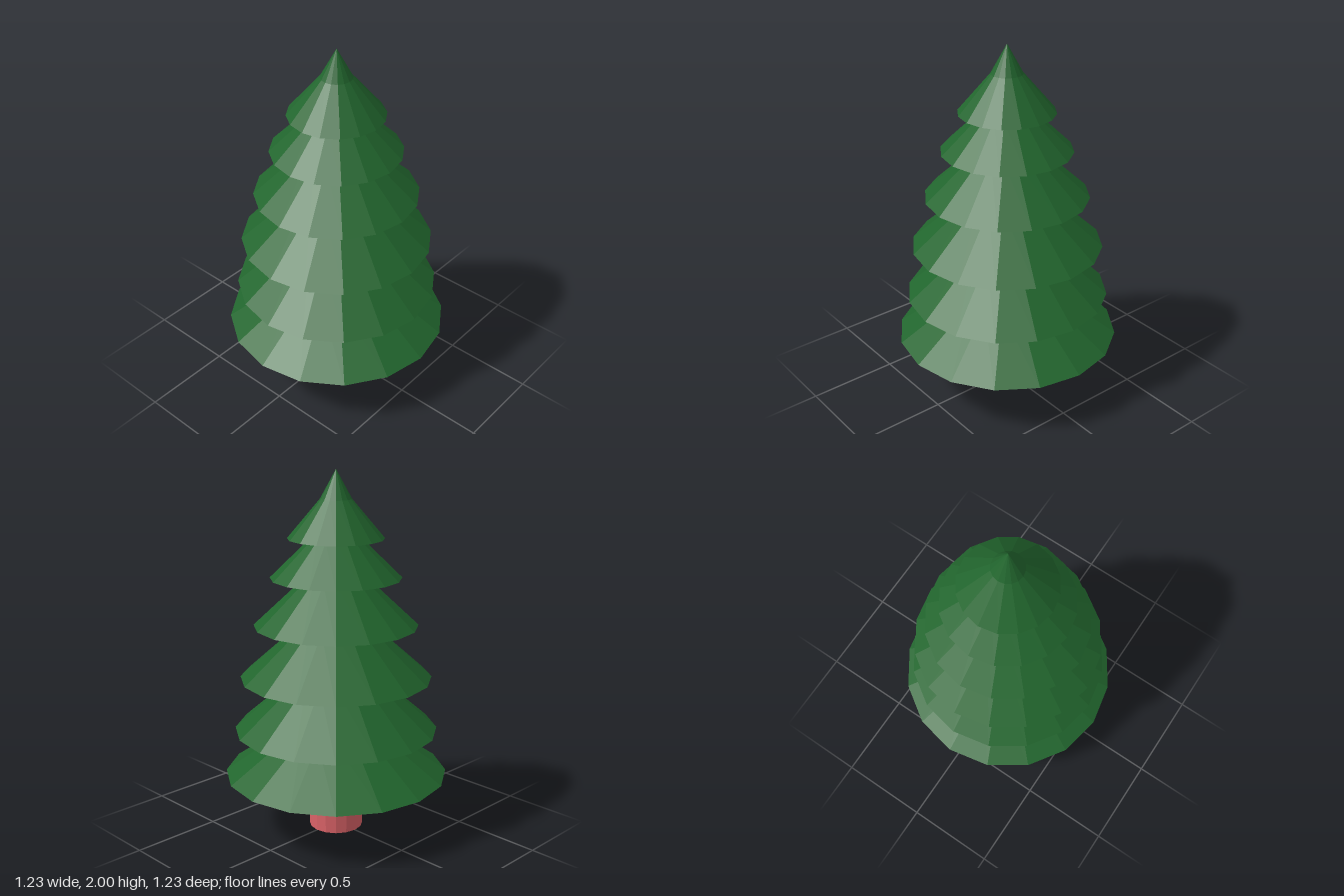
import * as THREE from 'three';

const SIDES = 16;

export function createModel() {
  const tree = new THREE.Group();
  tree.name = 'pineTree';
  const needles = new THREE.MeshStandardMaterial({ color: 0x21652d, flatShading: true });
  const bark = new THREE.MeshStandardMaterial({ color: 0xd96267, flatShading: true });

  // Trunk, ending just inside the lowest tier
  const trunk = new THREE.Mesh(new THREE.CylinderGeometry(0.15, 0.15, 0.33, SIDES), bark);
  trunk.position.y = 0.165;
  trunk.name = 'trunk';
  tree.add(trunk);

  // Branch tiers: rim radius, rim height, top radius, top height
  const tiers = [
    [0.617, 0.323, 0.26, 0.575],
    [0.56, 0.578, 0.225, 0.872],
    [0.525, 0.875, 0.2, 1.165],
    [0.447, 1.167, 0.17, 1.425],
    [0.355, 1.427, 0.14, 1.636],
    [0.26, 1.638, 0.085, 1.845],
  ];
  tiers.forEach(([rimR, rimY, topR, topY], i) => {
    const last = i === tiers.length - 1;
    const profile = [
      [0, rimY - 0.012], // slightly sagging underside
      [rimR * 0.5, rimY - 0.012],
      [rimR, rimY],
      [topR, topY],
      [0, last ? 2 : topY], // pointed crown on the top tier
    ].map(([r, y]) => new THREE.Vector2(r, y));
    const tier = new THREE.Mesh(new THREE.LatheGeometry(profile, SIDES), needles);
    tier.name = last ? 'crownTier' : `branchTier${i + 1}`;
    tree.add(tier);
  });

  return tree;
}
